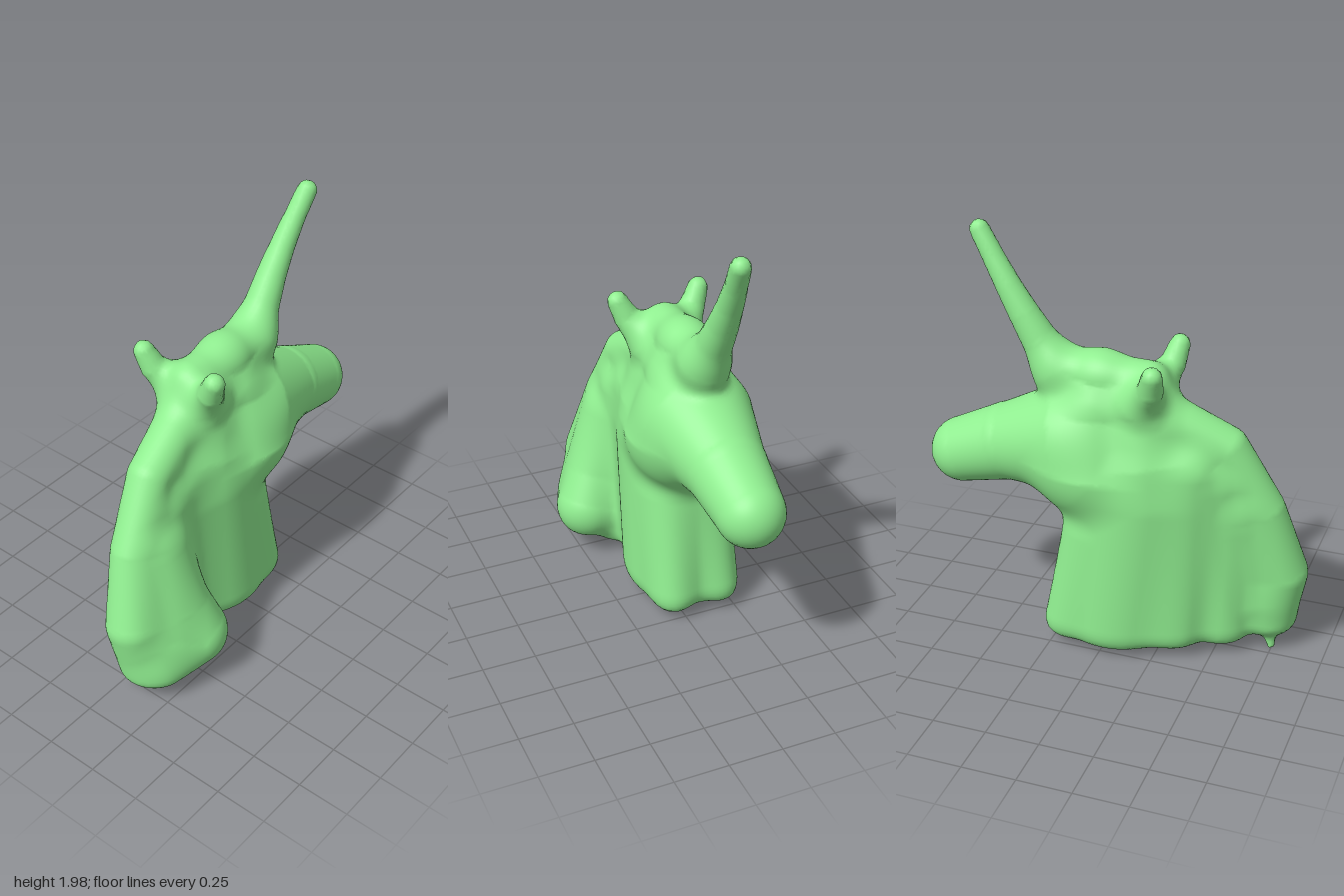
import * as THREE from 'three';
import { mergeVertices } from 'three/addons/utils/BufferGeometryUtils.js';

const MID = -0.075; // depth of the head's plane of symmetry
const BASE = 0.042; // height of the flat underside

// A bead is a point with a radius; a chain of beads forms a tapered limb
const bead = (x, y, z, r) => ({ p: new THREE.Vector3(x, y, z), r });
const centred = (x, y, r) => bead(x, y, MID, r);

// Horn: a straight taper, flared at the root, with a slight sideways bow
function hornChain() {
  const chain = [];
  for (let i = 0; i <= 5; i++) {
    const t = i / 5;
    chain.push(bead(0.265 + 0.355 * t, 1.36 + 0.593 * t,
      MID + 0.018 * t - 0.02 * Math.sin(Math.PI * t), 0.046 + 0.05 * (1 - t) ** 1.5));
  }
  return chain;
}

// Ear: leans outwards and back, mirrored by side
const earChain = (side) => [
  bead(-0.17, 1.28, MID + side * 0.09, 0.08),
  bead(-0.23, 1.38, MID + side * 0.16, 0.06),
  bead(-0.25, 1.462, MID + side * 0.198, 0.048),
];

// Front corner of the neck, mirrored by side
const neckCorner = (side) => [
  bead(0.175, 0.05, MID + side * 0.115, 0.13),
  bead(0.07, 0.6, MID + side * 0.1, 0.12),
];

const neck = [[centred(-0.02, 0, 0.3), centred(-0.11, 0.8, 0.295)], neckCorner(1), neckCorner(-1)];
const head = [
  [centred(0.08, 0.94, 0.288), centred(0.06, 1.2, 0.18), centred(0.05, 1.35, 0.11)], // cheeks to brow
  [centred(-0.17, 1.345, 0.1), centred(0.24, 1.35, 0.1)], // crown
  [centred(-0.15, 1, 0.21), centred(-0.12, 1.22, 0.15)], // back of the skull
];
const muzzle = [[centred(0.2, 1.02, 0.26), centred(0.5, 0.952, 0.183), centred(0.735, 0.87, 0.154)]];
const mane = [
  // crest down the back of the neck
  [bead(-0.23, 1.2, -0.07, 0.11), bead(-0.52, 1.06, -0.02, 0.1), bead(-0.69, 0.76, 0.02, 0.1),
    bead(-0.77, 0.42, 0.08, 0.125), bead(-0.72, 0.17, 0.1, 0.125)],
  // webs between crest and neck
  [bead(-0.36, 0.95, -0.06, 0.16), bead(-0.3, 0.1, -0.07, 0.17)],
  [bead(-0.48, 0.88, -0.01, 0.13), bead(-0.5, 0.1, 0.03, 0.16)],
  [bead(-0.58, 0.75, 0.03, 0.13), bead(-0.64, 0.3, 0.12, 0.16)],
  // swept lock at the front
  [bead(-0.55, 0.7, 0.05, 0.12), bead(-0.53, 0.42, 0.14, 0.14), bead(-0.5, 0.25, 0.195, 0.16),
    bead(-0.68, 0.17, 0.15, 0.135)],
];
// drip under the rear corner
const drip = [bead(-0.735, 0.09, 0.06, 0.03), bead(-0.745, 0.021, 0.055, 0.02)];

// blend = softness of the join, depth = stretch of the part along z
const PARTS = [
  { name: 'neck', chains: neck, blend: 0.08, depth: 0.83 },
  { name: 'head', chains: head, blend: 0.08, depth: 1 },
  { name: 'muzzle', chains: muzzle, blend: 0.08, depth: 1 },
  { name: 'mane', chains: mane, blend: 0.09, depth: 1 },
  { name: 'horn', chains: [hornChain()], blend: 0.1, depth: 1 },
  { name: 'frontEar', chains: [earChain(1)], blend: 0.07, depth: 1 },
  { name: 'rearEar', chains: [earChain(-1)], blend: 0.07, depth: 1 },
];

function chainDistance(chain, depth, x, y, z) {
  let best = Infinity;
  for (let i = 0; i + 1 < chain.length; i++) {
    const a = chain[i], b = chain[i + 1];
    const dx = b.p.x - a.p.x, dy = b.p.y - a.p.y, dz = (b.p.z - a.p.z) / depth;
    const px = x - a.p.x, py = y - a.p.y, pz = (z - a.p.z) / depth;
    const t = THREE.MathUtils.clamp((px * dx + py * dy + pz * dz) / (dx * dx + dy * dy + dz * dz), 0, 1);
    best = Math.min(best, Math.hypot(px - t * dx, py - t * dy, pz - t * dz) - a.r - t * (b.r - a.r));
  }
  return best;
}

function softMin(a, b, k) {
  const h = Math.max(k - Math.abs(a - b), 0) / k;
  return Math.min(a, b) - h * h * k * 0.25;
}

function partDistance(part, x, y, z) {
  let d = 10;
  for (const chain of part.chains) d = softMin(d, chainDistance(chain, part.depth, x, y, z), 0.07);
  return d;
}

// All parts blended together and cut flat underneath, with the drip left whole
function field(x, y, z) {
  let d = 10;
  for (const part of PARTS) d = softMin(d, partDistance(part, x, y, z), part.blend);
  d = -softMin(-d, y - BASE, 0.12);
  return softMin(d, chainDistance(drip, 1, x, y, z), 0.03);
}

function fieldNormal(x, y, z) {
  const e = 0.008;
  return new THREE.Vector3(
    field(x + e, y, z) - field(x - e, y, z),
    field(x, y + e, z) - field(x, y - e, z),
    field(x, y, z + e) - field(x, y, z - e)).normalize();
}

// Skin the field with quads, one vertex per crossed grid cell
function skin(step, min, size) {
  const [nx, ny, nz] = size.map((s) => Math.ceil(s / step) + 1);
  const stride = [1, nx, nx * ny];
  const values = new Float32Array(nx * ny * nz);
  const each = (from, to, visit) => {
    for (let k = from; k < nz - to; k++)
      for (let j = from; j < ny - to; j++)
        for (let i = from; i < nx - to; i++) visit(i, j, k, i + j * stride[1] + k * stride[2]);
  };
  each(0, 0, (i, j, k, n) => {
    values[n] = field(min.x + i * step, min.y + j * step, min.z + k * step);
  });

  const vertices = new Map();
  each(0, 1, (i, j, k, n) => {
    const sum = new THREE.Vector3();
    let count = 0;
    for (let c = 0; c < 8; c++) {
      const corner = [c & 1, (c >> 1) & 1, c >> 2];
      const id = n + corner[0] + corner[1] * stride[1] + corner[2] * stride[2];
      for (let axis = 0; axis < 3; axis++) {
        if (corner[axis]) continue;
        const va = values[id], vb = values[id + stride[axis]];
        if ((va < 0) === (vb < 0)) continue;
        const crossing = new THREE.Vector3(...corner);
        sum.add(crossing.setComponent(axis, va / (va - vb)));
        count++;
      }
    }
    if (!count) return;
    const p = sum.divideScalar(count).add(new THREE.Vector3(i, j, k)).multiplyScalar(step).add(min);
    vertices.set(n, { p, normal: fieldNormal(p.x, p.y, p.z) });
  });

  const quads = [];
  each(1, 1, (i, j, k, n) => {
    for (let axis = 0; axis < 3; axis++) {
      const inside = values[n] < 0;
      if (inside === (values[n + stride[axis]] < 0)) continue;
      const b = stride[(axis + 1) % 3], c = stride[(axis + 2) % 3];
      const quad = [n, n - b, n - b - c, n - c].map((id) => vertices.get(id));
      quads.push(inside ? quad : quad.reverse());
    }
  });
  return quads;
}

export function createModel() {
  const group = new THREE.Group();
  group.name = 'unicornBust';
  const material = new THREE.MeshStandardMaterial({ color: 0x90ee90 });
  const buffers = PARTS.map(() => ({ position: [], normal: [] }));

  // Hand every quad to the part it lies closest to
  for (const quad of skin(0.02, new THREE.Vector3(-1, -0.06, -0.46), [2, 2.14, 0.94])) {
    const { x, y, z } = quad[0].p;
    const distances = PARTS.map((part) => partDistance(part, x, y, z));
    const buffer = buffers[distances.indexOf(Math.min(...distances))];
    for (const corner of [0, 1, 2, 0, 2, 3]) {
      buffer.position.push(...quad[corner].p.toArray());
      buffer.normal.push(...quad[corner].normal.toArray());
    }
  }

  PARTS.forEach((part, i) => {
    const geometry = new THREE.BufferGeometry();
    geometry.setAttribute('position', new THREE.Float32BufferAttribute(buffers[i].position, 3));
    geometry.setAttribute('normal', new THREE.Float32BufferAttribute(buffers[i].normal, 3));
    const mesh = new THREE.Mesh(mergeVertices(geometry), material);
    mesh.name = part.name;
    group.add(mesh);
  });
  return group;
}
